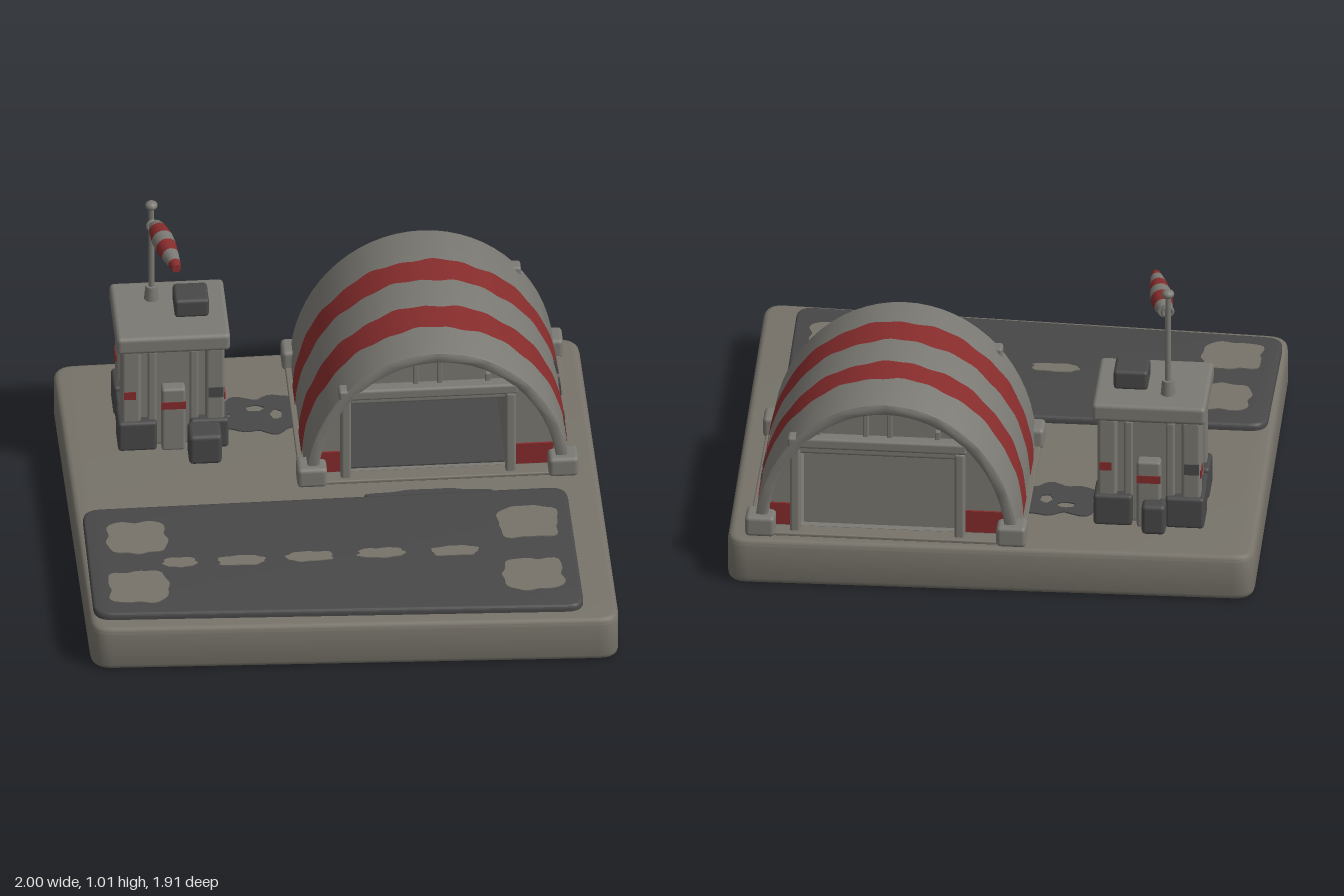
import * as THREE from 'three';
import { toCreasedNormals } from 'three/addons/utils/BufferGeometryUtils.js';
import { RoundedBoxGeometry } from 'three/addons/geometries/RoundedBoxGeometry.js';

const mat = (name, color) => new THREE.MeshStandardMaterial({ name, color });
const concrete = mat('concrete', 0x77736a);
const metal = mat('paleMetal', 0x7b7973);
const asphalt = mat('asphalt', 0x484848);
const red = mat('stripeRed', 0x862c2c);
red.side = THREE.DoubleSide;

const YAW = -0.2; // everything on the base is turned by this angle

function add(parent, name, geo, material, x = 0, y = 0, z = 0) {
  const m = new THREE.Mesh(geo, material);
  m.name = name;
  m.position.set(x, y, z);
  parent.add(m);
  return m;
}

// Rounded box standing on y
function block(parent, name, material, w, h, d, x, y, z, r = 0.01) {
  return add(parent, name, new RoundedBoxGeometry(w, h, d, 2, r), material, x, y + h / 2, z);
}

// Plan shape (x, z) turned into a flat slab whose top is at the given height
function slab(parent, name, shape, material, top, height, bevel = 0) {
  const geo = new THREE.ExtrudeGeometry(shape, {
    depth: height - 2 * bevel, bevelEnabled: bevel > 0, bevelSize: bevel,
    bevelThickness: bevel, bevelOffset: -bevel, bevelSegments: 3, curveSegments: 6,
  });
  geo.rotateX(Math.PI / 2);
  return add(parent, name, toCreasedNormals(geo, 0.7), material, 0, top - bevel, 0);
}

// Polygon with rounded corners
function roundedPolygon(corners, r) {
  const pts = corners.map(c => new THREE.Vector2(...c));
  const shape = new THREE.Shape();
  pts.forEach((p, i) => {
    const toward = q => q.clone().sub(p).setLength(r).add(p);
    const a = toward(pts[(i + pts.length - 1) % pts.length]);
    const b = toward(pts[(i + 1) % pts.length]);
    if (i) shape.lineTo(a.x, a.y); else shape.moveTo(a.x, a.y);
    shape.quadraticCurveTo(p.x, p.y, b.x, b.y);
  });
  shape.closePath();
  return shape;
}

// Worn paint patch: a wobbly squared ellipse, turned with the layout
function patchShape(x, z, rx, rz, power, wobble, seed) {
  const pts = [];
  for (let i = 0; i < 48; i++) {
    const a = (i / 48) * Math.PI * 2, c = Math.cos(a), s = Math.sin(a);
    const k = (1 + wobble * (Math.sin(5 * a + seed) + 0.7 * Math.sin(9 * a + seed * 2)))
      / Math.pow(Math.abs(c) ** power + Math.abs(s) ** power, 1 / power);
    const u = rx * k * c, v = rz * k * s;
    pts.push(new THREE.Vector2(x + u * 0.98 - v * 0.2, z + u * 0.2 + v * 0.98));
  }
  return new THREE.Shape(pts);
}

function buildGround(root) {
  slab(root, 'base', roundedPolygon([[-0.72, -0.97], [1.01, -0.65], [0.7, 0.96], [-1.01, 0.54]], 0.07),
    concrete, 0.163, 0.163, 0.02);
  slab(root, 'runway', roundedPolygon([[-0.86, -0.11], [0.73, 0.2], [0.6, 0.88], [-0.985, 0.485]], 0.06),
    asphalt, 0.187, 0.04, 0.01);
  [[-0.73, 0.1], [-0.8, 0.375], [0.55, 0.365], [0.485, 0.66]].forEach(([x, z], i) =>
    slab(root, 'runwayPatch', patchShape(x, z, 0.098, 0.088, 5, 0.045, i * 1.7), concrete, 0.19, 0.006));
  [[-0.63, 0.275], [-0.43, 0.32], [-0.205, 0.36], [0.03, 0.405], [0.27, 0.46]].forEach(([x, z], i) =>
    slab(root, 'runwayDash', patchShape(x, z, i ? 0.077 : 0.055, 0.027, 3, 0.06, i * 2.3), concrete, 0.19, 0.006));
  // Worn path between the tower and the hangar, and in front of the hangar
  const path = patchShape(-0.12, -0.5, 0.13, 0.1, 4, 0.1, 1);
  path.holes.push(patchShape(-0.14, -0.54, 0.03, 0.018, 2, 0.05, 2));
  path.holes.push(patchShape(-0.08, -0.49, 0.02, 0.028, 2, 0.05, 4));
  slab(root, 'wornPath', path, asphalt, 0.167, 0.006);
  slab(root, 'apronWear', patchShape(0.28, 0.1, 0.2, 0.035, 3, 0.08, 3), asphalt, 0.167, 0.006);
}

const arc = (rx, ry, n = 32) => Array.from({ length: n + 1 }, (_, i) => {
  const a = (i / n) * Math.PI;
  return new THREE.Vector2(rx * Math.cos(a), ry * Math.sin(a));
});

// Painted band over the roof with uneven edges
function bandGeometry(z0, z1, rx, ry, seed) {
  const n = 64, pos = [], index = [];
  arc(rx, ry, n).forEach((p, i) => {
    const wave = s => 0.005 * Math.sin(i * 0.55 + s) + 0.004 * Math.sin(i * 1.3 + s * 2);
    pos.push(p.x, p.y, z0 + wave(seed), p.x, p.y, z1 + wave(seed + 2));
    if (i < n) index.push(2 * i, 2 * i + 2, 2 * i + 1, 2 * i + 1, 2 * i + 2, 2 * i + 3);
  });
  const geo = new THREE.BufferGeometry();
  geo.setAttribute('position', new THREE.Float32BufferAttribute(pos, 3));
  geo.setIndex(index);
  geo.computeVertexNormals();
  return geo;
}

// End wall with doorway, frame, ribs and painted corners, facing +z
function buildEndWall(parent, name) {
  const wall = new THREE.Group();
  wall.name = name;
  parent.add(wall);
  const dx = -0.03;
  const shape = new THREE.Shape(arc(0.41, 0.48));
  shape.holes.push(new THREE.Path([[-0.26, 0.015], [-0.26, 0.3], [0.26, 0.3], [0.26, 0.015]]
    .map(([x, y]) => new THREE.Vector2(x + dx, y))));
  add(wall, 'endWall', new THREE.ExtrudeGeometry(shape, { depth: 0.03, bevelEnabled: false }), metal, 0, 0, 0.285);
  block(wall, 'doorLintel', metal, 0.6, 0.04, 0.05, dx, 0.33, 0.335);
  block(wall, 'doorHeader', metal, 0.53, 0.035, 0.03, dx, 0.298, 0.32);
  for (const s of [-1, 1]) {
    block(wall, 'doorJamb', metal, 0.035, 0.33, 0.045, dx + s * 0.275, 0, 0.33);
    block(wall, 'wallRib', metal, 0.018, 0.11, 0.02, dx + s * 0.04, 0.36, 0.32, 0.004);
    block(wall, 'wallRib', metal, 0.018, 0.045, 0.02, dx + s * 0.2, 0.355, 0.32, 0.004);
    const inner = dx + s * 0.293, outer = s * 0.39;
    add(wall, 'paintedCorner', new THREE.BoxGeometry(Math.abs(outer - inner), 0.08, 0.008), red,
      (inner + outer) / 2, 0.06, 0.318);
  }
  return wall;
}

function buildHangar(root) {
  const g = new THREE.Group();
  g.name = 'hangar';
  g.position.set(0.41, 0.16, -0.345);
  g.rotation.y = YAW;
  root.add(g);
  // Roof shell
  const shell = new THREE.Shape([...arc(0.44, 0.51), ...arc(0.4, 0.47).reverse()]);
  const roof = new THREE.ExtrudeGeometry(shell, {
    depth: 0.7, bevelEnabled: true, bevelSize: 0.008, bevelThickness: 0.01, bevelOffset: -0.008, bevelSegments: 2 });
  add(g, 'archedRoof', toCreasedNormals(roof, 0.6), metal, 0, 0, -0.35);
  add(g, 'roofStripe', bandGeometry(-0.18, -0.065, 0.444, 0.514, 1), red);
  add(g, 'roofStripe', bandGeometry(0.085, 0.21, 0.444, 0.514, 3), red);
  block(g, 'foundation', concrete, 0.92, 0.014, 0.74, 0, 0, 0, 0.005);
  // End walls and the room behind the front doorway
  buildEndWall(g, 'frontWall');
  buildEndWall(g, 'backWall').rotation.y = Math.PI;
  add(g, 'backDoor', new THREE.BoxGeometry(0.56, 0.32, 0.02), metal, 0, 0.16, -0.28);
  add(g, 'roomFloor', new THREE.BoxGeometry(0.52, 0.008, 0.57), asphalt, -0.03, 0.016, 0.015);
  add(g, 'roomCeiling', new THREE.BoxGeometry(0.54, 0.01, 0.56), metal, -0.03, 0.305, 0.01);
  for (const s of [-1, 1]) {
    add(g, 'roomWall', new THREE.BoxGeometry(0.01, 0.3, 0.56), metal, -0.03 + s * 0.265, 0.155, 0.01);
    for (const t of [-1, 1])
      block(g, 'cornerFooting', metal, 0.1, 0.075, 0.09, s * 0.42, 0, t * 0.34, 0.015);
  }
  // Chipped paint low on the left-hand stripes
  [[-0.07, 0.05], [-0.08, 0.13], [0.09, 0.03]].forEach(([z, y]) =>
    add(g, 'chippedPaint', new THREE.BoxGeometry(0.008, 0.05, 0.03), asphalt,
      0.442 * Math.sqrt(1 - (y / 0.51) ** 2), y, z).rotation.z = Math.asin(y / 0.51) * 0.9);
}

function buildTower(root) {
  const g = new THREE.Group();
  g.name = 'controlTower';
  g.position.set(-0.43, 0.16, -0.553);
  g.rotation.y = YAW;
  root.add(g);
  block(g, 'towerBody', metal, 0.3, 0.4, 0.26, 0, 0, 0);
  block(g, 'towerRoof', metal, 0.38, 0.065, 0.335, 0, 0.395, 0, 0.015);
  for (const s of [-1, 1]) {
    for (const t of [-1, 1]) {
      block(g, 'cornerPost', metal, 0.065, 0.4, 0.065, s * 0.14, 0, t * 0.12, 0.012);
      block(g, 'cornerPlinth', asphalt, 0.13, 0.115, 0.12, s * 0.12, 0, t * 0.105, 0.012);
      block(g, 'wallRib', metal, 0.03, 0.39, 0.03, s * 0.07, 0, t * 0.13, 0.008);
      block(g, 'sideRib', metal, 0.03, 0.39, 0.03, s * 0.15, 0, t * 0.045, 0.008);
    }
    block(g, 'doorPanel', metal, 0.08, 0.25, 0.05, 0, 0, s * 0.145);
    add(g, 'doorStripe', new THREE.BoxGeometry(0.081, 0.028, 0.006), red, 0, 0.185, s * 0.169);
    block(g, 'sidePlinth', asphalt, 0.04, 0.1, 0.12, s * 0.16, 0, 0);
    // Worn paint on the posts
    add(g, 'redPatch', new THREE.BoxGeometry(0.04, 0.03, 0.006), red, -s * 0.145, 0.22, s * 0.152);
    add(g, 'darkPatch', new THREE.BoxGeometry(0.05, 0.04, 0.006), asphalt, s * 0.142, 0.22, s * 0.152);
    add(g, 'sidePatch', new THREE.BoxGeometry(0.006, 0.028, 0.055), red, s * 0.172, 0.2, s * 0.12);
  }
  block(g, 'frontCrate', asphalt, 0.11, 0.115, 0.1, 0.1, 0, 0.21, 0.015);
  block(g, 'backCrate', asphalt, 0.08, 0.11, 0.07, -0.02, 0, -0.185, 0.015);
  block(g, 'roofUnit', asphalt, 0.115, 0.07, 0.11, 0.07, 0.458, 0, 0.012);
}

function buildWindsock(root) {
  const g = new THREE.Group();
  g.name = 'windsock';
  g.position.set(-0.472, 0, -0.63);
  root.add(g);
  add(g, 'mastFoot', new THREE.CylinderGeometry(0.02, 0.025, 0.055, 16), metal, 0, 0.645, 0);
  add(g, 'mast', new THREE.CylinderGeometry(0.009, 0.011, 0.37, 12), metal, 0, 0.815, 0);
  add(g, 'mastCap', new THREE.SphereGeometry(0.021, 16, 10), metal, 0, 0.998, 0).scale.y = 0.75;
  add(g, 'sockRing', new THREE.TorusGeometry(0.017, 0.006, 8, 16), metal, 0, 0.925, 0.012);
  // Sock sections: start z and radius
  const rings = [[0.015, 0.022], [0.045, 0.031], [0.1, 0.037], [0.145, 0.035], [0.195, 0.029], [0.245, 0.021], [0.275, 0.015]];
  for (let i = 0; i + 1 < rings.length; i++) {
    const [z0, r0] = rings[i], [z1, r1] = rings[i + 1];
    const geo = new THREE.CylinderGeometry(r1, r0, z1 - z0, 16).rotateX(Math.PI / 2);
    add(g, 'sockSection', geo, i % 2 ? red : metal, 0.01, 0.925, (z0 + z1) / 2);
  }
}

export function createModel() {
  const root = new THREE.Group();
  root.name = 'airfield';
  buildGround(root);
  buildHangar(root);
  buildTower(root);
  buildWindsock(root);
  return root;
}
